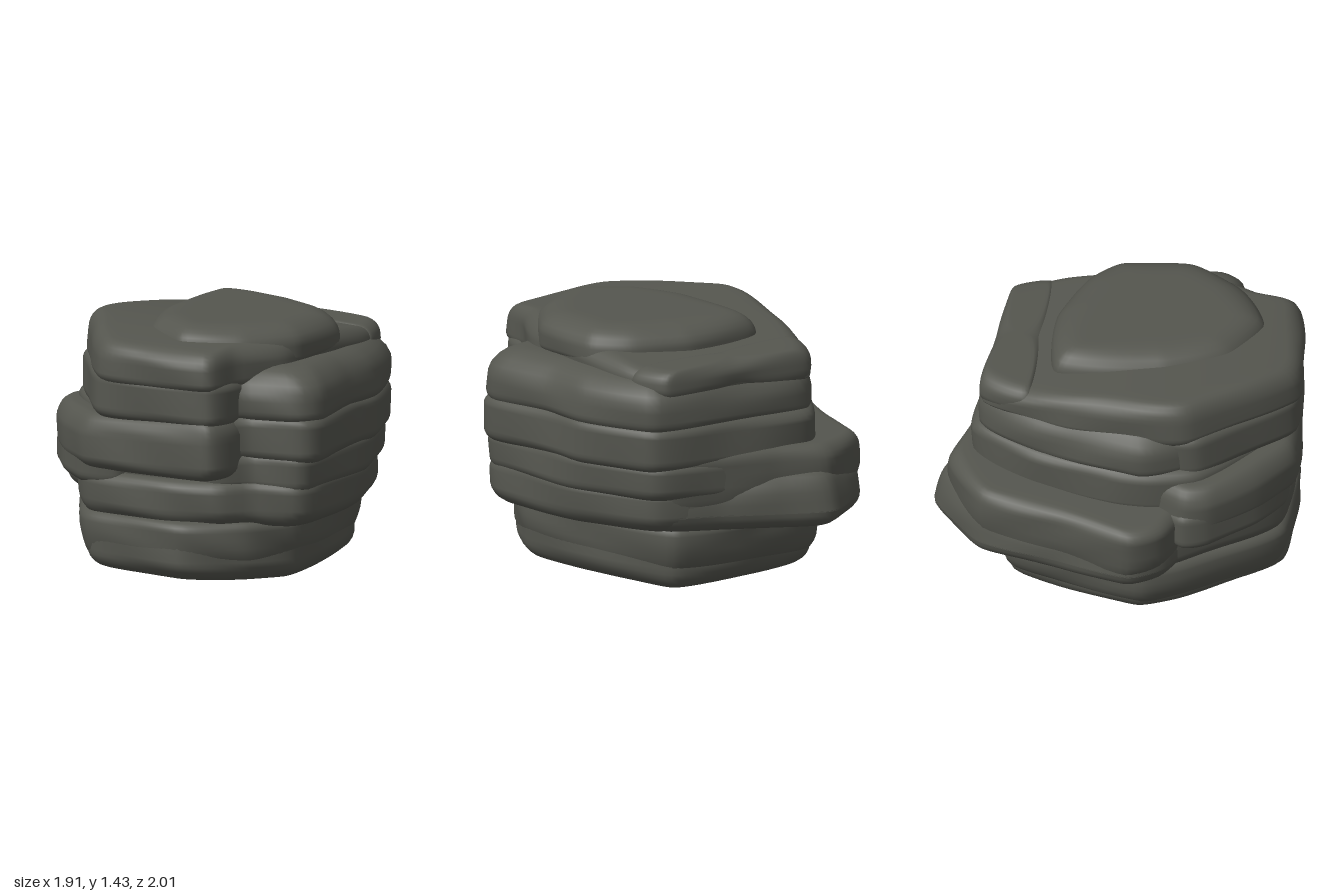
import * as THREE from 'three';

const AROUND = 120;
const stone = new THREE.MeshStandardMaterial({ color: 0x55564f });
stone.name = 'darkStone';

// Rounded rock slab: a plan outline of [x, z] corners (left, front, right, back)
// lofted from y0 to y1. low / high = [horizontal, vertical] edge rounding,
// tiltLow / tiltHigh = [x, z] slopes of the two faces, bend = sag of the top along z.
function slab(name, y0, y1, outline, { low = [0.08, 0.07], high = [0.08, 0.07], tiltLow = [0, 0], tiltHigh = [0, 0], bend = 0 } = {}) {
  const curve = new THREE.CatmullRomCurve3(
    outline.map(([x, z]) => new THREE.Vector3(x, 0, z)), true, 'catmullrom', 0.28);
  const plan = curve.getSpacedPoints(AROUND).slice(0, AROUND);
  const mid = new THREE.Vector3();
  plan.forEach(p => mid.addScaledVector(p, 1 / AROUND));

  // Edge profile as [inset, height]
  const profile = [[low[0] + 0.2, y0], [low[0] + 0.05, y0]];
  for (let i = 0; i <= 6; i++) {
    const a = i / 6 * Math.PI / 2;
    profile.push([low[0] * (1 - Math.sin(a)), y0 + low[1] * (1 - Math.cos(a))]);
  }
  for (let i = 6; i >= 0; i--) {
    const a = i / 6 * Math.PI / 2;
    profile.push([high[0] * (1 - Math.sin(a)), y1 - high[1] * (1 - Math.cos(a))]);
  }
  for (const inset of [0.05, 0.15, 0.3, 0.45]) profile.push([high[0] + inset, y1]);

  const pos = [], index = [];
  const put = (x, y, z) => {
    const t = (y - y0) / (y1 - y0);
    const lowShift = tiltLow[0] * x + tiltLow[1] * z;
    const highShift = tiltHigh[0] * x + tiltHigh[1] * z - bend * z * z;
    pos.push(x, y + (1 - t) * lowShift + t * highShift, z);
  };
  for (const [inset, y] of profile) {
    for (const p of plan) {
      const dx = mid.x - p.x, dz = mid.z - p.z, d = Math.hypot(dx, dz);
      // gentle weathering along the edge
      const wear = 0.008 * (1 + Math.sin(p.x * 9 + y * 17) * Math.cos(p.z * 8 - y * 11));
      const k = Math.min(inset + wear, d * 0.9) / d;
      put(p.x + dx * k, y, p.z + dz * k);
    }
  }
  const rows = profile.length;
  for (let r = 0; r < rows - 1; r++) {
    for (let i = 0; i < AROUND; i++) {
      const j = (i + 1) % AROUND;
      const a = r * AROUND + i, b = r * AROUND + j;
      index.push(a, b, a + AROUND, b, b + AROUND, a + AROUND);
    }
  }
  // Close both faces with a fan
  const bottom = rows * AROUND, top = bottom + 1, last = (rows - 1) * AROUND;
  put(mid.x, y0, mid.z);
  put(mid.x, y1, mid.z);
  for (let i = 0; i < AROUND; i++) {
    const j = (i + 1) % AROUND;
    index.push(bottom, j, i, top, last + i, last + j);
  }
  const geometry = new THREE.BufferGeometry();
  geometry.setAttribute('position', new THREE.Float32BufferAttribute(pos, 3));
  geometry.setIndex(index);
  geometry.computeVertexNormals();
  const mesh = new THREE.Mesh(geometry, stone);
  mesh.name = name;
  return mesh;
}

export function createModel() {
  const rock = new THREE.Group();
  rock.name = 'layeredRock';

  // Base, undercut on its right side
  rock.add(slab('baseLayer', 0.03, 0.3,
    [[-0.74, 0.14], [-0.64, 0.4], [-0.28, 0.92], [0.3, 0.96], [0.6, 0.73], [0.75, 0.45], [0.73, 0.1], [0.63, -0.25], [0.5, -0.57], [0.1, -0.64], [-0.42, -0.58], [-0.64, -0.15]],
    { low: [0.13, 0.12], high: [0.04, 0.05], tiltLow: [-0.02, 0.03] }));
  rock.add(slab('baseUpperLayer', 0.1, 0.385,
    [[-0.78, 0.16], [-0.67, 0.42], [-0.32, 0.92], [0.3, 0.965], [0.62, 0.74], [0.76, 0.46], [0.74, 0.1], [0.65, -0.25], [0.52, -0.6], [0.1, -0.68], [-0.45, -0.62], [-0.68, -0.15]],
    { low: [0.1, 0.18], high: [0.06, 0.06] }));

  // Broad ledge sticking out to the back and right
  rock.add(slab('backLedgeLower', 0.345, 0.66,
    [[-0.93, 0.1], [-0.82, 0.3], [-0.4, 0.5], [0.3, 0.4], [0.66, 0], [0.6, -0.58], [0.3, -0.74], [0.02, -0.9], [-0.27, -1.01], [-0.64, -0.76], [-0.8, -0.3]],
    { low: [0.11, 0.1], high: [0.12, 0.22] }));
  rock.add(slab('backLedgeUpper', 0.4, 0.785,
    [[-0.96, 0.1], [-0.85, 0.3], [-0.4, 0.5], [0.3, 0.4], [0.66, 0], [0.6, -0.6], [0.3, -0.75], [0, -0.84], [-0.3, -0.94], [-0.65, -0.74], [-0.81, -0.3]],
    { low: [0.1, 0.26], high: [0.08, 0.08], tiltHigh: [0.03, -0.02] }));

  // Wide middle layers
  rock.add(slab('lowerMiddleLayer', 0.35, 0.61,
    [[-0.8, 0.18], [-0.7, 0.4], [-0.33, 0.92], [0.2, 0.95], [0.5, 0.86], [0.64, 0.72], [0.87, 0.62], [0.92, 0.46], [0.86, -0.1], [0.64, -0.57], [0.3, -0.72], [-0.4, -0.7], [-0.7, -0.1]],
    { low: [0.12, 0.1], high: [0.07, 0.07] }));
  rock.add(slab('middleLayer', 0.54, 0.77,
    [[-0.72, 0.3], [-0.66, 0.48], [-0.3, 0.88], [0.45, 0.84], [0.62, 0.7], [0.87, 0.62], [0.92, 0.5], [0.88, -0.1], [0.67, -0.6], [0.3, -0.75], [-0.3, -0.8], [-0.52, -0.5], [-0.7, 0]]));
  rock.add(slab('upperMiddleLayer', 0.71, 0.98,
    [[-0.7, 0.22], [-0.64, 0.48], [-0.25, 0.85], [0.45, 0.82], [0.6, 0.71], [0.9, 0.62], [0.96, 0.5], [0.9, 0], [0.88, -0.2], [0.7, -0.62], [0.3, -0.74], [-0.26, -0.81], [-0.52, -0.48], [-0.68, 0]]));
  rock.add(slab('shoulderLayer', 0.93, 1.235,
    [[-0.7, 0.14], [-0.6, 0.42], [-0.25, 0.82], [0.45, 0.8], [0.58, 0.72], [0.88, 0.63], [0.96, 0.5], [0.9, 0.1], [0.88, -0.2], [0.7, -0.63], [0.3, -0.72], [-0.26, -0.77], [-0.5, -0.46]],
    { high: [0.22, 0.18] }));

  // Blocks jutting out at the front
  rock.add(slab('frontBlockFoot', 0.53, 0.78,
    [[-0.785, 0.36], [-0.76, 0.52], [-0.55, 0.78], [-0.34, 0.94], [-0.1, 0.92], [0, 0.5], [-0.5, 0.1]]));
  rock.add(slab('frontBlockLower', 0.625, 0.95,
    [[-0.77, 0.36], [-0.755, 0.53], [-0.54, 0.8], [-0.3, 0.985], [0.1, 0.995], [0.5, 0.96], [0.57, 0.74], [0.5, 0.2], [-0.5, 0.1]],
    { low: [0.09, 0.08], high: [0.1, 0.13], tiltHigh: [0.05, 0] }));
  rock.add(slab('frontBlockMiddle', 0.92, 1.18,
    [[-0.62, 0.3], [-0.61, 0.48], [-0.22, 0.97], [0.1, 0.985], [0.49, 0.94], [0.56, 0.74], [0.5, 0.2], [-0.5, 0.1]],
    { low: [0.07, 0.07], high: [0.06, 0.06] }));

  // Top slab, the swell along its back edge and its low cap
  rock.add(slab('topLayer', 1.12, 1.355,
    [[-0.63, 0.15], [-0.62, 0.42], [-0.2, 0.985], [0.1, 1.0], [0.49, 0.96], [0.55, 0.74], [0.7, 0.45], [0.73, 0], [0.7, -0.38], [0.6, -0.63], [0.2, -0.69], [-0.28, -0.75], [-0.44, -0.5], [-0.54, -0.25]],
    { low: [0.06, 0.06], high: [0.1, 0.1], tiltHigh: [-0.03, 0.1], bend: 0.11 }));
  rock.add(slab('topBackSwell', 1.12, 1.3,
    [[-0.42, -0.48], [0, -0.42], [0.5, -0.4], [0.69, -0.42], [0.62, -0.64], [0.2, -0.7], [-0.28, -0.76]],
    { high: [0.1, 0.08], tiltHigh: [-0.03, 0] }));
  rock.add(slab('topCap', 1.22, 1.437,
    [[-0.27, 0.25], [-0.1, 0.62], [0.2, 0.79], [0.52, 0.64], [0.72, 0.36], [0.72, -0.06], [0.55, -0.24], [0.22, -0.38], [-0.24, -0.35]],
    { low: [0.04, 0.04], high: [0.18, 0.12], tiltHigh: [-0.01, 0.005] }));

  return rock;
}
